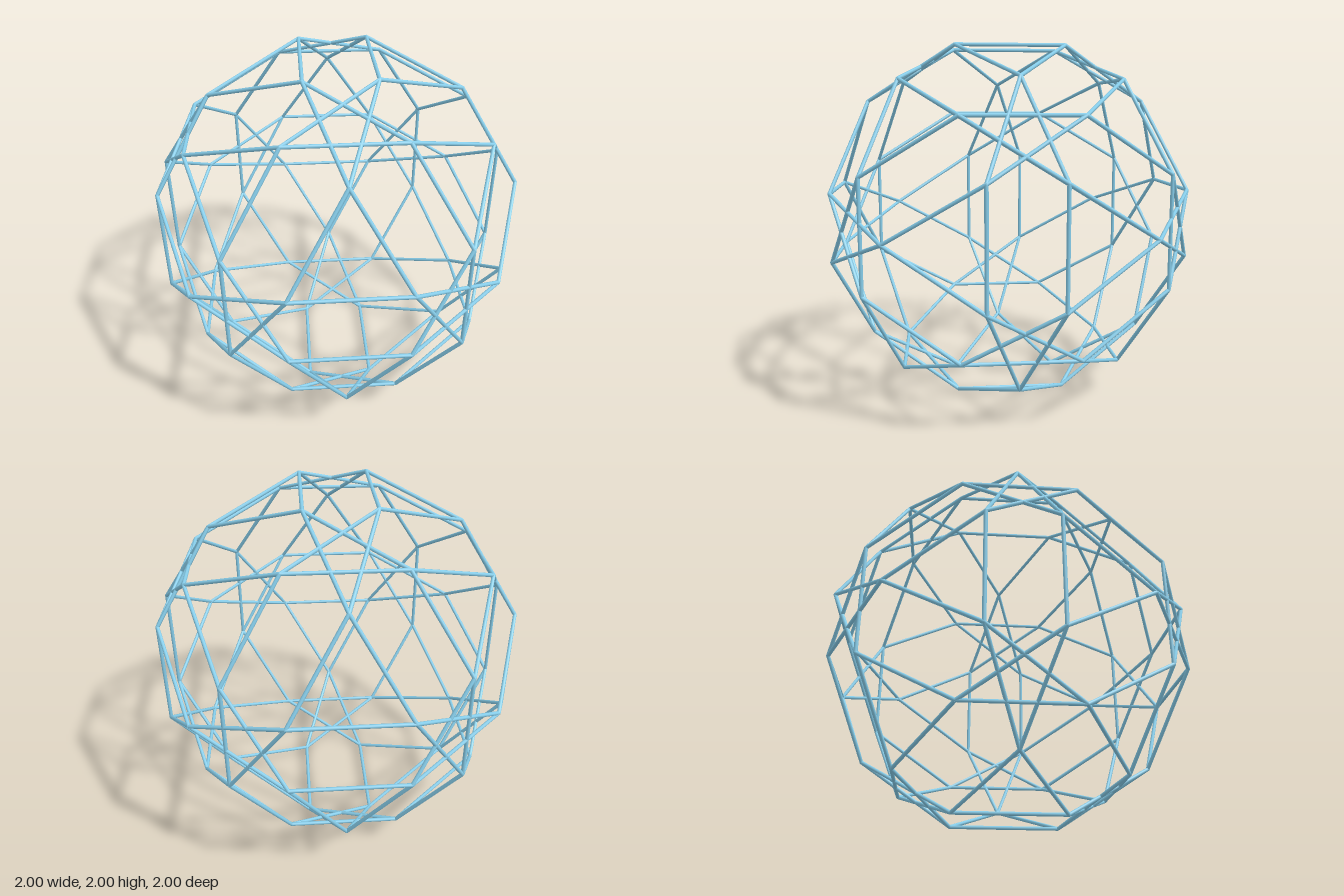
import * as THREE from 'three';

const PHI = (1 + Math.sqrt(5)) / 2;
const BAR_RADIUS = 0.0105;
const SCALE = (1 - BAR_RADIUS) / (2 * PHI * PHI);
const EDGE = 2 * PHI; // every edge has this length before scaling

// 60 corners: all sign changes and cyclic shifts of three base points
function corners() {
  const base = [
    [1, 2 * PHI ** 2, PHI],
    [2 + PHI, PHI ** 3, 0],
    [PHI, PHI ** 3, 2 * PHI],
  ];
  const points = [];
  for (const b of base)
    for (let shift = 0; shift < 3; shift++)
      for (let signs = 0; signs < 8; signs++) {
        const c = [0, 1, 2].map((i) => b[(i + shift) % 3] * (signs & (1 << i) ? -1 : 1));
        const p = new THREE.Vector3(...c);
        if (!points.some((q) => q.distanceTo(p) < 0.01)) points.push(p);
      }
  return points;
}

export function createModel() {
  const model = new THREE.Group();
  model.name = 'wireframePolyhedron';
  const material = new THREE.MeshStandardMaterial({ color: 0x87ceeb });
  const barGeometry = new THREE.CylinderGeometry(BAR_RADIUS, BAR_RADIUS, EDGE * SCALE, 8);
  const jointGeometry = new THREE.SphereGeometry(BAR_RADIUS, 8, 6);
  const up = new THREE.Vector3(0, 1, 0);
  const center = new THREE.Vector3(0, 1, 0);
  const bars = new THREE.Group();
  bars.name = 'edgeBars';
  const joints = new THREE.Group();
  joints.name = 'cornerJoints';
  model.add(bars, joints);

  const points = corners();
  points.forEach((a, i) => {
    // Rounded joint closing the gap between bar ends
    const joint = new THREE.Mesh(jointGeometry, material);
    joint.name = 'cornerJoint';
    joint.position.copy(a).multiplyScalar(SCALE).add(center);
    joints.add(joint);

    // One bar for each pair of corners an edge length apart
    for (const b of points.slice(i + 1)) {
      if (Math.abs(a.distanceTo(b) - EDGE) > 0.01) continue;
      const bar = new THREE.Mesh(barGeometry, material);
      bar.name = 'edgeBar';
      bar.position.copy(a).add(b).multiplyScalar(SCALE / 2).add(center);
      bar.quaternion.setFromUnitVectors(up, b.clone().sub(a).normalize());
      bars.add(bar);
    }
  });
  return model;
}
